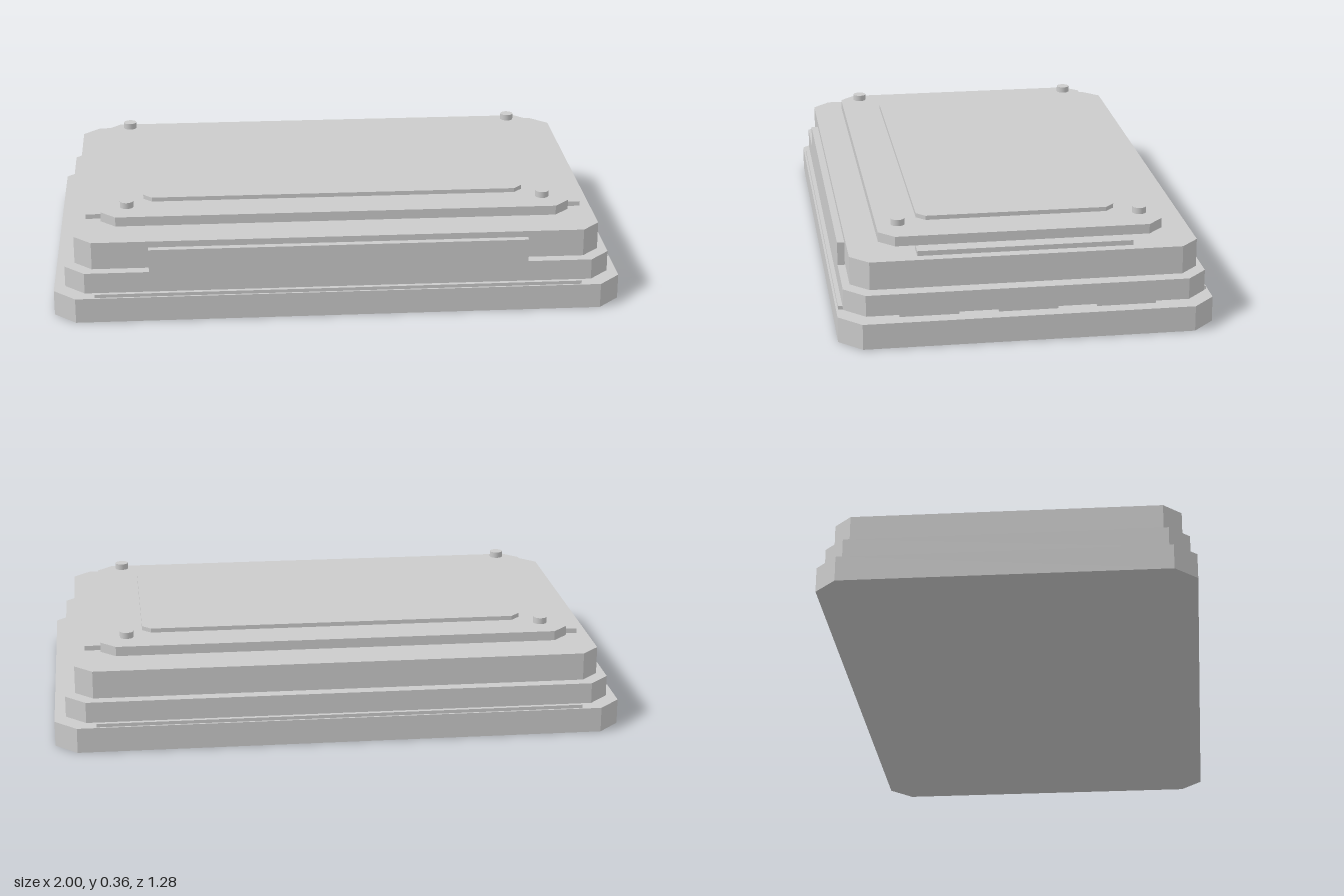
import * as THREE from 'three';

const material = new THREE.MeshStandardMaterial({ color: 0xcccccc, flatShading: true });

// Rectangular slab with cut corners, given half sizes and a height range
function slab(name, hx, hz, cut, y0, y1) {
  const outline = [
    [hx, -hz + cut], [hx, hz - cut], [hx - cut, hz], [-hx + cut, hz],
    [-hx, hz - cut], [-hx, -hz + cut], [-hx + cut, -hz], [hx - cut, -hz],
  ].map(([x, z]) => new THREE.Vector2(x, z));
  const geometry = new THREE.ExtrudeGeometry(new THREE.Shape(outline), { depth: y1 - y0, bevelEnabled: false });
  geometry.rotateX(-Math.PI / 2).translate(0, y0, 0);
  const mesh = new THREE.Mesh(geometry, material);
  mesh.name = name;
  return mesh;
}

// Box given by its limits on each axis
function block(name, x0, x1, y0, y1, z0, z1) {
  const mesh = new THREE.Mesh(new THREE.BoxGeometry(x1 - x0, y1 - y0, z1 - z0), material);
  mesh.position.set((x0 + x1) / 2, (y0 + y1) / 2, (z0 + z1) / 2);
  mesh.name = name;
  return mesh;
}

export function createModel() {
  const model = new THREE.Group();
  model.name = 'steppedCase';

  // Stacked tiers, separated by narrow gaps
  model.add(
    slab('base', 1, 0.64, 0.077, 0, 0.089),
    slab('middleTier', 0.96, 0.618, 0.07, 0.101, 0.175),
    slab('upperTier', 0.925, 0.593, 0.062, 0.181, 0.279),
    slab('topPlate', 0.832, 0.488, 0.053, 0.296, 0.33),
    slab('raisedPanel', 0.682, 0.345, 0.031, 0.33, 0.345),
  );

  // Front panel bridging the two middle tiers
  model.add(block('frontPanel', -0.665, 0.665, 0.175, 0.257, 0.582, 0.618));

  for (const s of [-1, 1]) {
    // Long seam strips along front and back of the base
    const seam = block('seamStrip', -0.855, 0.855, 0.089, 0.101, 0.613, 0.633);
    seam.position.z *= s;
    model.add(seam);

    // Side rails beside the top plate
    const rail = block('sideRail', 0.825, 0.888, 0.279, 0.296, -0.367, 0.367);
    rail.position.x *= s;
    model.add(rail);

    // Three small spacers under each end of the middle tier
    for (const z of [-0.335, 0, 0.335]) {
      const spacer = block('endSpacer', 0.925, 0.95, 0.089, 0.101, z - 0.101, z + 0.101);
      spacer.position.x *= s;
      model.add(spacer);
    }

    // Corner studs
    for (const t of [-1, 1]) {
      const stud = new THREE.Mesh(new THREE.CylinderGeometry(0.024, 0.024, 0.022, 24),
        new THREE.MeshStandardMaterial({ color: 0xcccccc }));
      stud.position.set(s * 0.739, 0.353, t * 0.417);
      stud.name = 'cornerStud';
      model.add(stud);
    }
  }
  return model;
}
